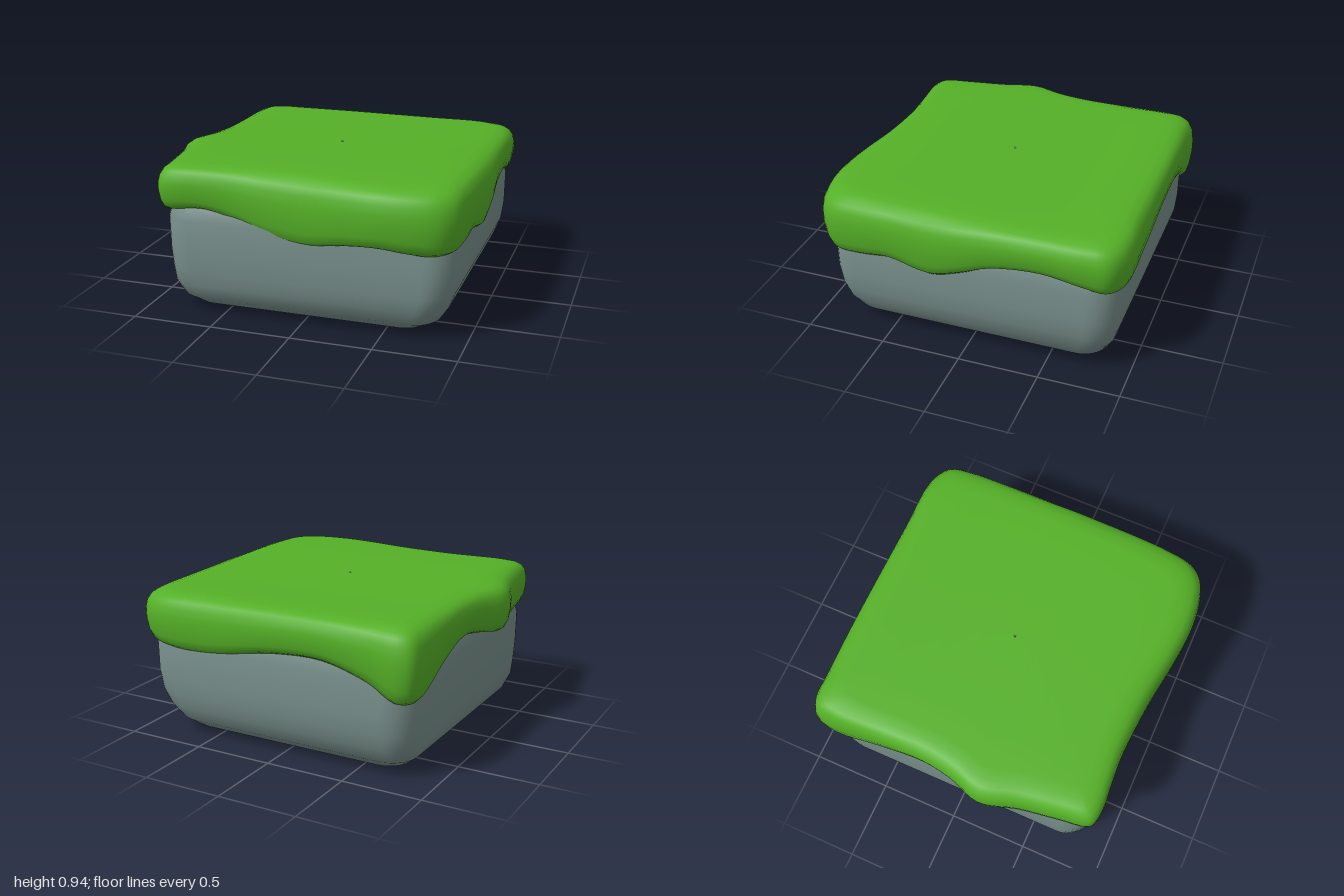
import * as THREE from 'three';

// Skin a stack of closed rings (bottom to top) with shared vertices for smooth normals.
function loft(rings) {
  const n = rings[0].length, index = [];
  for (let i = 0; i < rings.length - 1; i++) {
    for (let j = 0; j < n; j++) {
      const k = (j + 1) % n;
      const a = i * n + j, b = i * n + k, c = (i + 1) * n + k, d = (i + 1) * n + j;
      index.push(a, b, c, a, c, d);
    }
  }
  const geometry = new THREE.BufferGeometry().setFromPoints(rings.flat());
  geometry.setIndex(index);
  geometry.computeVertexNormals();
  return geometry;
}

// Rounded square outline in the ground plane, half size 1.
function roundedSquare(r, steps) {
  const points = [];
  [[1, 1], [1, -1], [-1, -1], [-1, 1]].forEach(([sx, sz], corner) => {
    for (let i = 0; i <= steps; i++) {
      const a = Math.PI / 2 - (corner + i / steps) * Math.PI / 2;
      points.push([sx * (1 - r) + r * Math.cos(a), sz * (1 - r) + r * Math.sin(a)]);
    }
  });
  return points;
}

// Stone block: rounded underside, upright walls. Levels are [y, half size, x shift, z shift].
function stoneGeometry() {
  const levels = [
    [0.003, 0.01, -0.04, 0], [0.003, 0.5, -0.04, 0], [0.006, 0.64, -0.03, -0.01],
    [0.03, 0.74, -0.01, -0.02], [0.09, 0.815, 0, -0.02], [0.18, 0.862, 0.01, -0.02],
    [0.28, 0.885, 0.025, -0.025], [0.4, 0.896, 0.03, -0.025], [0.6, 0.898, 0.03, -0.025],
    [0.72, 0.87, 0.03, -0.025], [0.8, 0.8, 0.03, -0.025], [0.81, 0.01, 0.03, -0.025],
  ];
  const outline = roundedSquare(0.2, 8);
  return loft(levels.map(([y, s, cx, cz]) =>
    outline.map(([x, z]) => new THREE.Vector3(cx + x * s, y, cz + z * s))));
}

// Grass cap: a wavy rim curve, with y as the height of its drooping lip.
function grassGeometry() {
  const rim = [
    // front, left to right
    [-0.87, 0.66, 0.86], [-0.83, 0.665, 0.89], [-0.73, 0.68, 0.9], [-0.6, 0.68, 0.89],
    [-0.4, 0.63, 0.88], [-0.2, 0.565, 0.89], [0.03, 0.535, 0.91], [0.3, 0.57, 0.95],
    [0.52, 0.585, 0.97], [0.72, 0.565, 0.955], [0.86, 0.55, 0.91],
    // side at +x, front to back
    [0.94, 0.55, 0.82], [0.97, 0.565, 0.65], [0.98, 0.585, 0.46], [0.99, 0.535, 0.2],
    [0.99, 0.585, 0], [0.98, 0.655, -0.2], [0.975, 0.685, -0.5], [0.97, 0.645, -0.75],
    // back, right to left
    [0.94, 0.61, -0.89], [0.8, 0.59, -0.965], [0.45, 0.59, -0.97], [0, 0.66, -0.97],
    [-0.35, 0.67, -0.97], [-0.65, 0.59, -0.97], [-0.83, 0.5, -0.97],
    // side at -x, back to front
    [-0.9, 0.49, -0.93], [-0.925, 0.5, -0.82], [-0.915, 0.62, -0.5], [-0.91, 0.69, -0.2],
    [-0.94, 0.67, 0], [-1, 0.64, 0.2], [-0.94, 0.645, 0.43], [-0.9, 0.65, 0.68],
  ].map((p) => new THREE.Vector3(...p));
  const curve = new THREE.CatmullRomCurve3(rim, true);
  const outline = curve.getPoints(rim.length * 4).slice(0, -1);
  // Wall section as [scale, height fraction from lip to top].
  const section = [
    [0.86, 0.12], [0.91, 0.02], [0.945, 0], [0.973, 0.06], [0.99, 0.2], [1, 0.42],
    [1, 0.6], [0.99, 0.76], [0.97, 0.87], [0.94, 0.94], [0.89, 0.985], [0.82, 1],
    [0.65, 1], [0.4, 1], [0.2, 1], [0.005, 1],
  ];
  return loft(section.map(([s, f]) => outline.map((p) => {
    const x = p.x * s, z = p.z * s;
    const top = 0.935 - 0.004 * x + 0.007 * Math.sin(3 * z);
    return new THREE.Vector3(x, p.y + (top - p.y) * f, z);
  })));
}

export function createModel() {
  const group = new THREE.Group();
  group.name = 'grassBlock';
  const parts = [
    ['stoneBase', stoneGeometry(), 0x788f8b],
    ['grassCap', grassGeometry(), 0x55b027],
  ];
  for (const [name, geometry, color] of parts) {
    const mesh = new THREE.Mesh(geometry, new THREE.MeshStandardMaterial({ color }));
    mesh.name = name;
    group.add(mesh);
  }
  return group;
}
